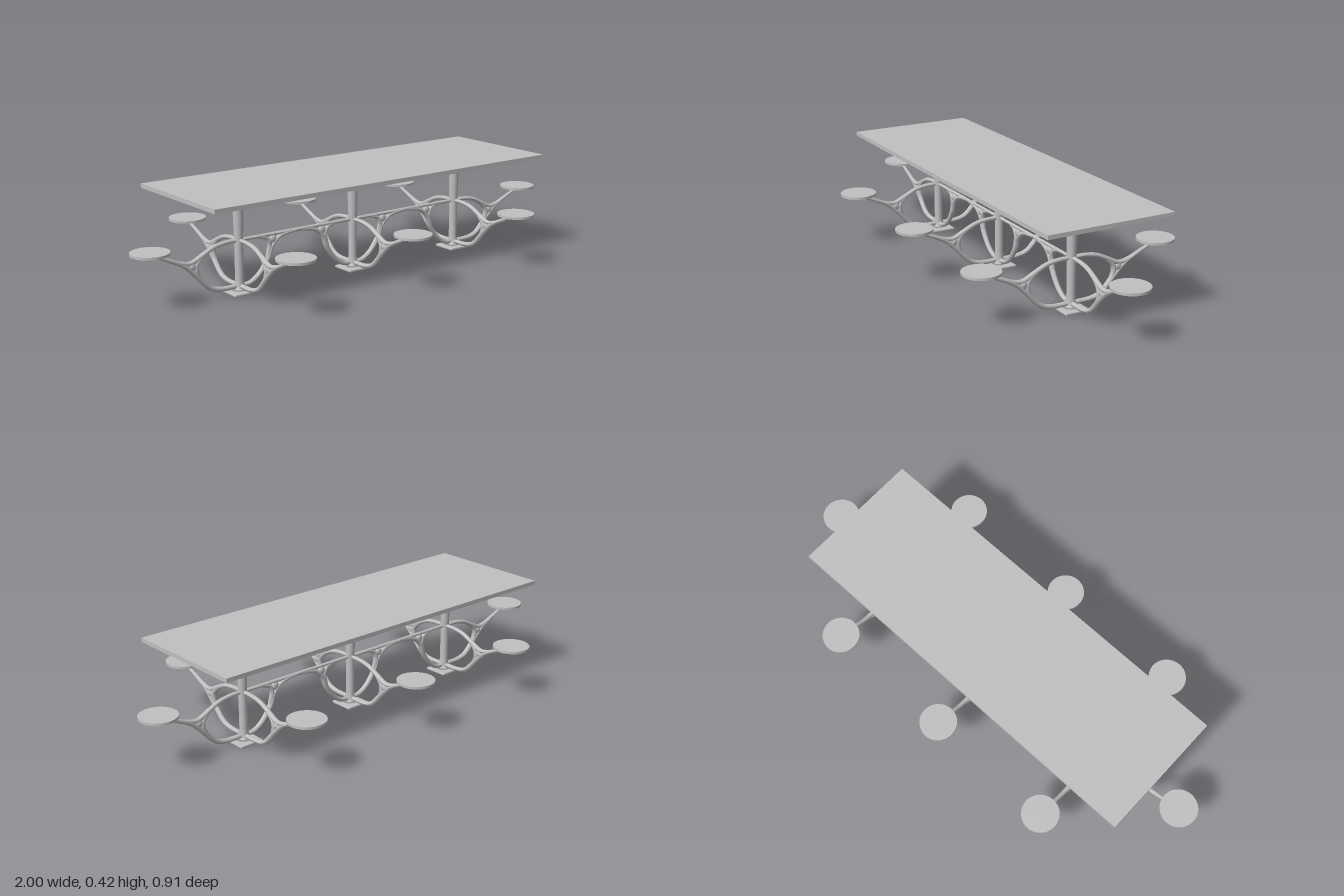
import * as THREE from 'three';
import { RoundedBoxGeometry } from 'three/addons/geometries/RoundedBoxGeometry.js';

const PITCH = 0.546; // distance between pillars
const SEAT_REACH = 0.38; // pillar axis to seat centre

const steel = new THREE.MeshStandardMaterial({ color: 0xc0c0c0 });
steel.name = 'grey';

function add(parent, name, geometry, x = 0, y = 0, z = 0) {
  const mesh = new THREE.Mesh(geometry, steel);
  mesh.name = name;
  mesh.position.set(x, y, z);
  parent.add(mesh);
  return mesh;
}

// Round bar through [x, y] points, its radius running from r0 via rMid to r1
function bar(points, r0, rMid = r0, r1 = rMid) {
  const curve = new THREE.CatmullRomCurve3(points.map(([x, y]) => new THREE.Vector3(x, y, 0)));
  const steps = 28, sides = 10;
  const geo = new THREE.TubeGeometry(curve, steps, 1, sides);
  const pos = geo.attributes.position;
  const v = new THREE.Vector3();
  for (let i = 0; i < pos.count; i++) {
    const t = Math.floor(i / (sides + 1)) / steps;
    const centre = curve.getPointAt(t);
    const r = t < 0.5 ? THREE.MathUtils.lerp(r0, rMid, t * 2) : THREE.MathUtils.lerp(rMid, r1, t * 2 - 1);
    v.fromBufferAttribute(pos, i).sub(centre).multiplyScalar(r).add(centre);
    pos.setXYZ(i, v.x, v.y, v.z);
  }
  geo.computeVertexNormals();
  return geo;
}

// Bracket holding a seat, reaching out along +x
function seatBracket() {
  const g = new THREE.Group();
  g.name = 'seatBracket';
  add(g, 'lowerArm', bar([[0, 0.028], [0.088, 0.029], [0.132, 0.043], [0.2, 0.112], [0.24, 0.147], [0.375, 0.21]], 0.009, 0.011, 0.006));
  add(g, 'upperArm', bar([[0, 0.208], [0.06, 0.207], [0.11, 0.198], [0.16, 0.175], [0.21, 0.152], [0.25, 0.157], [0.375, 0.21]], 0.008, 0.01, 0.006));
  add(g, 'innerBrace', bar([[0.12, 0.193], [0.16, 0.172], [0.188, 0.14], [0.183, 0.1], [0.145, 0.055]], 0.008, 0.011, 0.009));
  add(g, 'joint', new THREE.SphereGeometry(0.018, 12, 8), 0.207, 0.137, 0).scale.z = 0.65;
  add(g, 'seat', new THREE.CylinderGeometry(0.075, 0.075, 0.01, 40), SEAT_REACH, 0.219, 0);
  return g;
}

// Half of the arch joining two pillars, reaching out along +x
function linkBracket() {
  const g = new THREE.Group();
  g.name = 'linkBracket';
  const mid = PITCH / 2;
  add(g, 'topBeam', bar([[0, 0.208], [mid, 0.208]], 0.007));
  add(g, 'lowerArm', bar([[0, 0.028], [0.045, 0.03], [0.09, 0.058], [0.132, 0.115], [0.152, 0.163], [0.19, 0.195], [mid, 0.208]], 0.009, 0.011, 0.007));
  add(g, 'innerBrace', bar([[0.09, 0.206], [0.125, 0.196], [0.14, 0.17], [0.13, 0.12]], 0.006, 0.01, 0.009));
  add(g, 'joint', new THREE.SphereGeometry(0.018, 12, 8), 0.155, 0.188, 0).scale.z = 0.6;
  return g;
}

// Column with flared head and foot
const pillarProfile = [
  [0, 0.008], [0.03, 0.011], [0.022, 0.016], [0.019, 0.03], [0.017, 0.06], [0.017, 0.18],
  [0.018, 0.23], [0.02, 0.3], [0.021, 0.36], [0.023, 0.382], [0.03, 0.393], [0.046, 0.4], [0, 0.401],
].map(([r, y]) => new THREE.Vector2(r, y));

export function createModel() {
  const model = new THREE.Group();
  model.name = 'canteenTable';
  add(model, 'tabletop', new THREE.BoxGeometry(1.62, 0.017, 0.534), 0, 0.4085, 0);

  for (const i of [-1, 0, 1]) {
    const stand = new THREE.Group();
    stand.name = 'stand';
    stand.position.x = i * PITCH;
    model.add(stand);
    add(stand, 'pillar', new THREE.LatheGeometry(pillarProfile, 24));
    add(stand, 'footPlate', new RoundedBoxGeometry(0.104, 0.011, 0.104, 2, 0.004), 0, 0.0055, 0);

    // Four brackets: a seat on every free side, an arch towards each neighbour
    for (let k = 0; k < 4; k++) {
      const towardsNeighbour = (k === 0 && i < 1) || (k === 2 && i > -1);
      const bracket = towardsNeighbour ? linkBracket() : seatBracket();
      bracket.rotation.y = (k * Math.PI) / 2;
      stand.add(bracket);
    }
  }
  return model;
}
